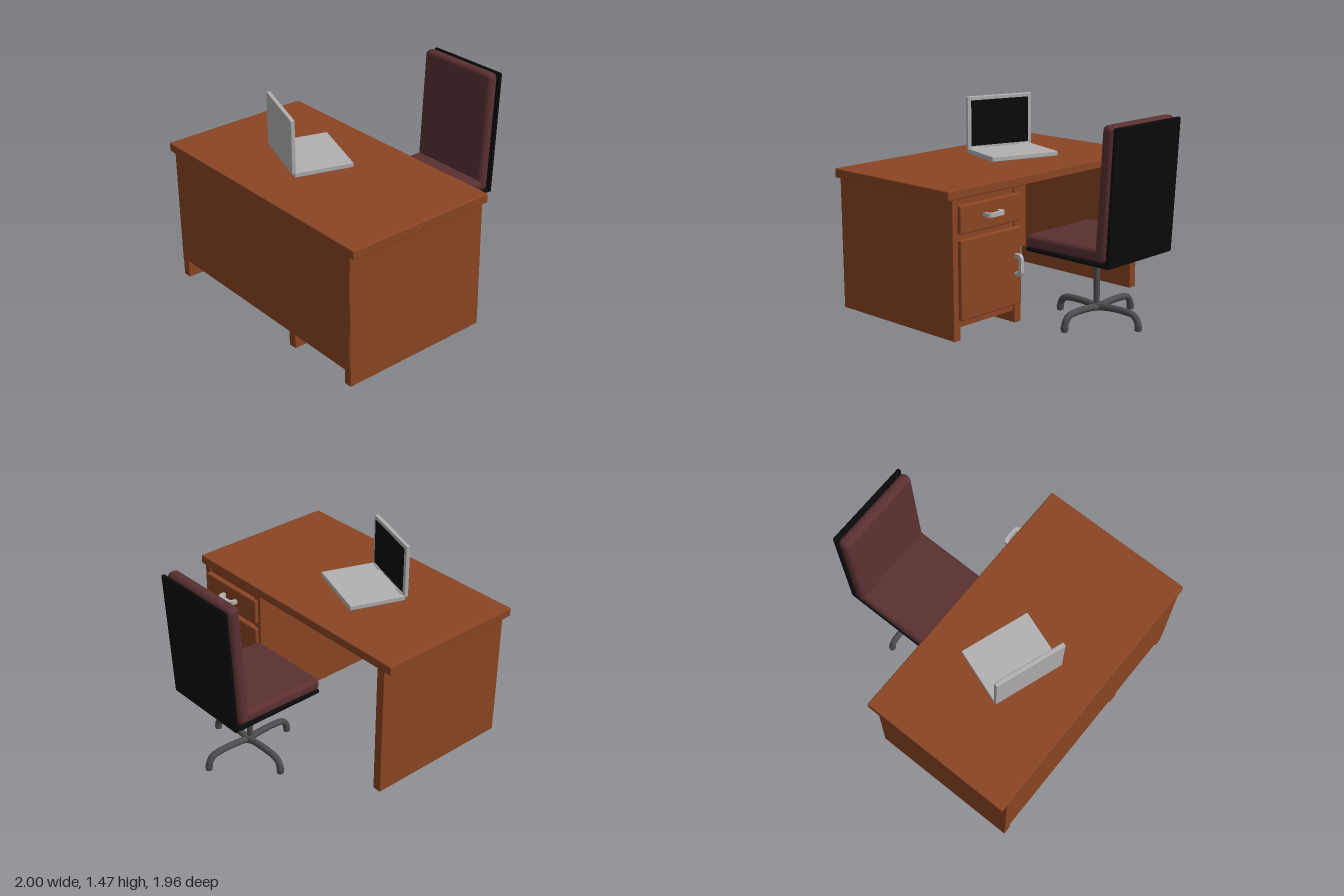
import * as THREE from 'three';
import { RoundedBoxGeometry } from 'three/addons/geometries/RoundedBoxGeometry.js';

export function createModel() {
  const mat = (name, color) => new THREE.MeshStandardMaterial({ name, color });
  const wood = mat('wood', 0x8a4523);
  const leather = mat('leather', 0x5a3032);
  const black = mat('black', 0x0a0a0a);
  const silver = mat('silver', 0xb2b0b0);
  const steel = mat('steel', 0x4c4d4f);

  const root = new THREE.Group();
  root.name = 'deskSet';
  const group = (name, parent = root) => {
    const g = new THREE.Group();
    g.name = name;
    parent.add(g);
    return g;
  };
  const mesh = (parent, name, geo, material) => {
    const m = new THREE.Mesh(geo, material);
    m.name = name;
    parent.add(m);
    return m;
  };
  // Box given by its limits on each axis, with an optional edge radius
  const box = (parent, name, material, [x0, x1], [y0, y1], [z0, z1], r = 0) => {
    const s = [x1 - x0, y1 - y0, z1 - z0];
    const geo = r ? new RoundedBoxGeometry(...s, 3, r) : new THREE.BoxGeometry(...s);
    const m = mesh(parent, name, geo, material);
    m.position.set((x0 + x1) / 2, (y0 + y1) / 2, (z0 + z1) / 2);
    return m;
  };

  // Desk: top, side panels, front panel and cabinet
  const desk = group('desk');
  box(desk, 'deskTop', wood, [-1, 1], [0.98, 1.045], [-0.163, 0.98], 0.008);
  box(desk, 'openSidePanel', wood, [-0.938, -0.872], [0, 0.985], [-0.157, 0.975], 0.006);
  box(desk, 'middlePanel', wood, [0.325, 0.39], [0.028, 0.985], [-0.157, 0.975], 0.006);
  box(desk, 'cabinetSidePanel', wood, [0.9, 0.96], [0.03, 0.985], [-0.157, 0.975], 0.006);
  box(desk, 'frontPanel', wood, [-0.935, 0.955], [0.14, 0.985], [0.93, 0.977]);
  box(desk, 'cabinetBody', wood, [0.38, 0.91], [0.115, 0.985], [-0.145, 0.95]);
  box(desk, 'drawerFront', wood, [0.35, 0.915], [0.75, 0.94], [-0.185, -0.14], 0.01);
  box(desk, 'cabinetDoor', wood, [0.35, 0.915], [0.165, 0.71], [-0.185, -0.14], 0.01);

  // Arched pull handles
  const arch = new THREE.Shape();
  arch.moveTo(-0.078, 0);
  arch.lineTo(-0.078, 0.035);
  arch.quadraticCurveTo(-0.072, 0.064, -0.04, 0.064);
  arch.lineTo(0.04, 0.064);
  arch.quadraticCurveTo(0.072, 0.064, 0.078, 0.035);
  arch.lineTo(0.078, 0);
  arch.lineTo(0.053, 0);
  arch.quadraticCurveTo(0.053, 0.04, 0.03, 0.04);
  arch.lineTo(-0.03, 0.04);
  arch.quadraticCurveTo(-0.053, 0.04, -0.053, 0);
  const handleGeo = new THREE.ExtrudeGeometry(arch, { depth: 0.028, bevelEnabled: false, curveSegments: 6 });
  handleGeo.translate(0, 0, -0.014);
  handleGeo.rotateX(-Math.PI / 2);
  mesh(desk, 'drawerHandle', handleGeo, silver).position.set(0.632, 0.85, -0.183);
  const doorHandle = mesh(desk, 'doorHandle', handleGeo, silver);
  doorHandle.position.set(0.405, 0.452, -0.183);
  doorHandle.rotation.z = Math.PI / 2;

  // Laptop, turned on the desk
  const laptop = group('laptop');
  laptop.position.set(-0.155, 1.045, 0.388);
  laptop.rotation.y = -0.335;
  const base = box(laptop, 'laptopBase', silver, [-0.262, 0.262], [0.013, 0.05], [-0.215, 0.2], 0.006);
  base.rotation.x = 0.012;
  box(laptop, 'laptopLid', silver, [-0.262, 0.262], [0.035, 0.428], [0.19, 0.22], 0.006);
  box(laptop, 'laptopScreen', black, [-0.232, 0.232], [0.065, 0.4], [0.186, 0.191]);
  for (const s of [-1, 1]) {
    const hinge = mesh(laptop, 'laptopHinge', new THREE.CylinderGeometry(0.012, 0.012, 0.09, 10), silver);
    hinge.rotation.z = Math.PI / 2;
    hinge.position.set(s * 0.19, 0.045, 0.188);
  }

  // Chair: cushions on thin black shells
  const chair = group('chair');
  chair.position.set(-0.02, 0, 0);
  box(chair, 'seatShell', black, [-0.335, 0.335], [0.53, 0.558], [-0.92, -0.19], 0.012);
  const seat = box(chair, 'seatCushion', leather, [-0.335, 0.335], [0.558, 0.65], [-0.87, -0.185], 0.035);
  seat.rotation.x = 0.015;
  const back = box(chair, 'backCushion', leather, [-0.335, 0.34], [0.56, 1.47], [-0.911, -0.823], 0.038);
  back.rotation.x = -0.065;
  const shell = box(chair, 'backShell', black, [-0.335, 0.34], [0.53, 1.46], [-0.95, -0.921], 0.012);
  shell.rotation.x = -0.06;

  // Chair post and four curved legs
  const post = mesh(chair, 'post', new THREE.CylinderGeometry(0.022, 0.022, 0.4, 14), steel);
  post.position.set(0, 0.335, -0.545);
  const hub = mesh(chair, 'hub', new THREE.CylinderGeometry(0.035, 0.035, 0.05, 14), steel);
  hub.position.set(0, 0.14, -0.555);
  const legPath = new THREE.CatmullRomCurve3([
    [0, 0.135], [0.1, 0.148], [0.24, 0.15], [0.31, 0.138], [0.342, 0.1], [0.35, 0.05],
  ].map(([x, y]) => new THREE.Vector3(x, y, 0)));
  const legGeo = new THREE.TubeGeometry(legPath, 24, 0.024, 10);
  for (let i = 0; i < 4; i++) {
    const leg = group('chairLeg', chair);
    leg.position.z = -0.562;
    leg.rotation.y = i * Math.PI / 2;
    mesh(leg, 'legTube', legGeo, steel);
    const foot = mesh(leg, 'foot', new THREE.CylinderGeometry(0.027, 0.024, 0.035, 10), steel);
    foot.position.set(0.35, 0.058, 0);
  }
  return root;
}
